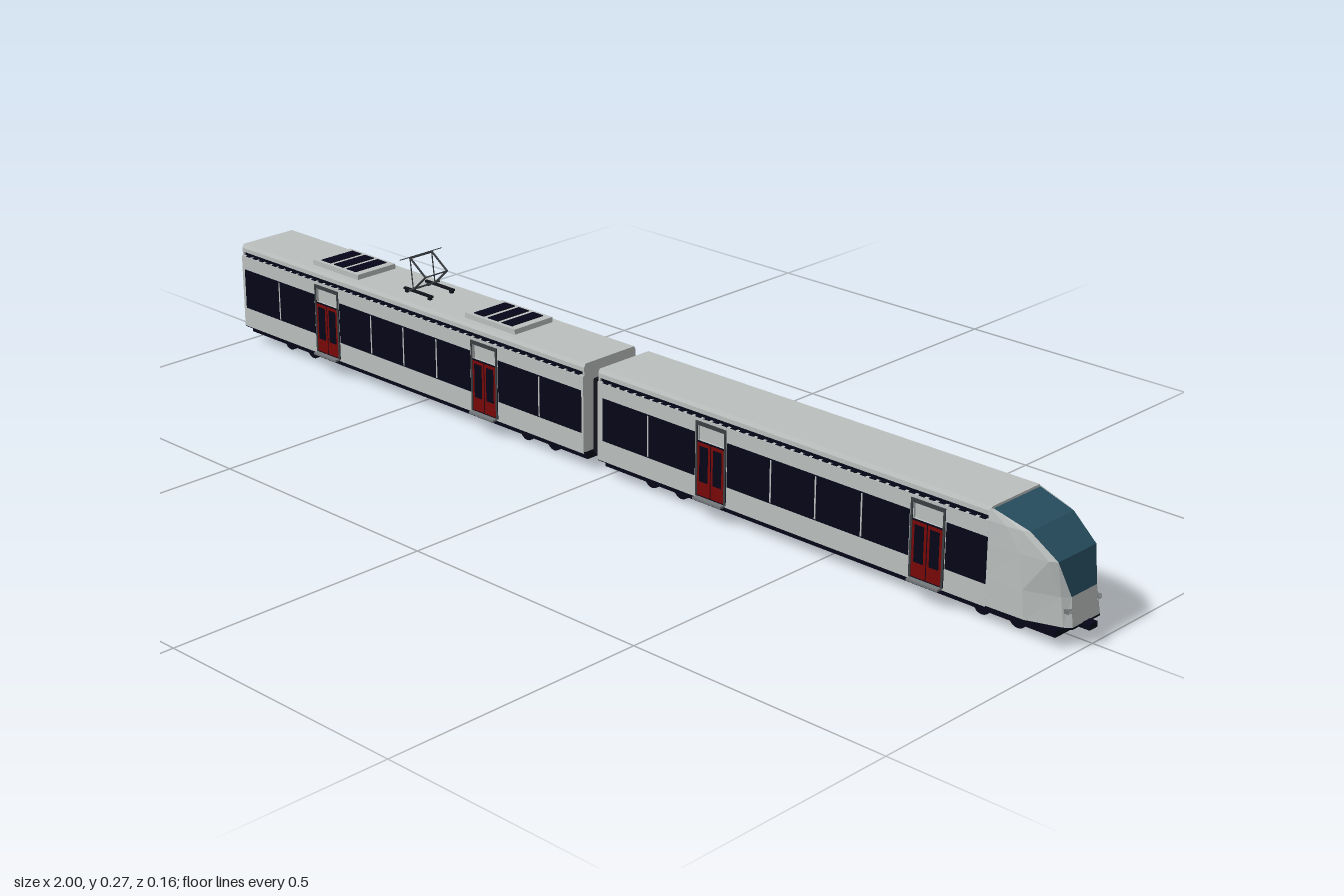
import * as THREE from 'three';

const mat = (name, color) => {
  const m = new THREE.MeshStandardMaterial({ color });
  m.name = name;
  return m;
};

export function createModel() {
  const silver = mat('silver body', 0xbbc0bf);
  const navy = mat('dark navy', 0x050518);
  const glass = mat('windscreen teal', 0x284f60);
  const red = mat('door red', 0x780806);
  const black = mat('bellows black', 0x12131c);
  const steel = mat('dark steel', 0x3a3f43);
  const grey = mat('fitting grey', 0x74787a);

  const train = new THREE.Group();
  train.name = 'train';

  const add = (parent, name, geo, material) => {
    const m = new THREE.Mesh(geo, material);
    m.name = name;
    parent.add(m);
    return m;
  };
  // Box given by its limits on each axis
  const box = (parent, name, material, x0, x1, y0, y1, z0, z1) => {
    const m = add(parent, name, new THREE.BoxGeometry(x1 - x0, y1 - y0, z1 - z0), material);
    m.position.set((x0 + x1) / 2, (y0 + y1) / 2, (z0 + z1) / 2);
  };
  // Same box on both sides of the train
  const pair = (parent, name, material, x0, x1, y0, y1, z0, z1) => {
    box(parent, name, material, x0, x1, y0, y1, z0, z1);
    box(parent, name, material, x0, x1, y0, y1, -z1, -z0);
  };
  const rod = (parent, name, a, b, r = 0.002) => {
    const p = new THREE.Vector3(...a), q = new THREE.Vector3(...b);
    const m = add(parent, name, new THREE.CylinderGeometry(r, r, p.distanceTo(q), 6), steel);
    m.position.copy(p).add(q).multiplyScalar(0.5);
    m.quaternion.setFromUnitVectors(new THREE.Vector3(0, 1, 0), q.sub(p).normalize());
  };

  const W = 0.067;

  // One carriage: hollow shell with openings over the doors
  function carriage(name, x0, x1, doors, windows, wheels) {
    const car = new THREE.Group();
    car.name = name;
    train.add(car);

    const side = new THREE.Shape([[x0, 0.032], [x1, 0.032], [x1, 0.178], [x0, 0.178]]
      .map(p => new THREE.Vector2(...p)));
    for (const d of doors) {
      side.holes.push(new THREE.Path([[-1, 0.138], [-1, 0.166], [1, 0.166], [1, 0.138]]
        .map(([s, y]) => new THREE.Vector2(d + s * 0.029, y))));
    }
    const wallGeo = new THREE.ExtrudeGeometry(side, { depth: 0.004, bevelEnabled: false });
    add(car, 'sideWall', wallGeo, silver).position.z = W - 0.004;
    add(car, 'sideWall', wallGeo, silver).position.z = -W;
    box(car, 'endWall', silver, x0, x0 + 0.004, 0.034, 0.187, -W + 0.003, W - 0.003);
    box(car, 'endWall', silver, x1 - 0.004, x1, 0.034, 0.187, -W + 0.003, W - 0.003);
    box(car, 'floor', navy, x0, x1, 0.0305, 0.035, -W + 0.0005, W - 0.0005);
    box(car, 'underframe', navy, x0 + 0.01, x1, 0.019, 0.0305, -0.057, 0.057);

    // Recessed band under the roof, with dashes lying on the ledge
    box(car, 'recessBand', navy, x0 + 0.004, x1 - 0.004, 0.173, 0.187, -0.0605, 0.0605);
    pair(car, 'ledge', silver, x0, x1, 0.174, 0.1785, 0.059, W - 0.0002);
    for (let x = x0 + 0.012; x < x1 - 0.014; x += 0.02) {
      pair(car, 'ledgeDash', navy, x, x + 0.012, 0.1785, 0.1795, 0.061, 0.0665);
    }

    // Roof with chamfered edges
    const roof = new THREE.Shape([[-0.0645, 0.186], [0.0645, 0.186], [0.0645, 0.194],
      [0.061, 0.201], [-0.061, 0.201], [-0.0645, 0.194]].map(p => new THREE.Vector2(...p)));
    const roofGeo = new THREE.ExtrudeGeometry(roof, { depth: x1 - x0, bevelEnabled: false });
    const r = add(car, 'roof', roofGeo, silver);
    r.rotation.y = Math.PI / 2;
    r.position.x = x0;

    // Window bands with mullions
    for (const [a, b, panes] of windows) {
      pair(car, 'windowBand', navy, a, b, 0.071, 0.151, W, W + 0.0008);
      for (let i = 1; i < panes; i++) {
        const x = a + (b - a) * i / panes;
        pair(car, 'mullion', silver, x - 0.0015, x + 0.0015, 0.073, 0.149, W, W + 0.0014);
      }
    }

    // Double doors with glazing, frame and step
    for (const d of doors) {
      pair(car, 'doorBacking', navy, d - 0.035, d + 0.035, 0.036, 0.138, W, W + 0.0006);
      for (const s of [-1, 1]) {
        const c = d + s * 0.0155;
        pair(car, 'doorLeaf', red, c - 0.0145, c + 0.0145, 0.038, 0.135, W, W + 0.0012);
        pair(car, 'doorWindow', navy, c - 0.0095, c + 0.0095, 0.064, 0.129, W, W + 0.0018);
        const p = d + s * 0.0325;
        pair(car, 'doorPost', steel, p - 0.002, p + 0.002, 0.036, 0.172, W, W + 0.0018);
      }
      pair(car, 'doorHeader', steel, d - 0.0345, d + 0.0345, 0.166, 0.173, W, W + 0.0018);
      pair(car, 'doorStep', grey, d - 0.032, d + 0.032, 0.032, 0.036, W - 0.005, 0.078);
    }

    // Wheelsets
    for (const x of wheels) {
      for (const dx of [-0.035, 0.035]) {
        for (const z of [-0.035, 0.035]) {
          const w = add(car, 'wheel', new THREE.CylinderGeometry(0.018, 0.018, 0.006, 20), navy);
          w.rotation.x = Math.PI / 2;
          w.position.set(x + dx, 0.018, z);
        }
      }
    }
    return car;
  }

  const rear = carriage('rearCar', -1, -0.045, [-0.742, -0.3],
    [[-0.992, -0.779, 2], [-0.705, -0.337, 4], [-0.263, -0.05, 2]], [-0.86, -0.185]);
  const front = carriage('frontCar', -0.01, 0.842, [0.26, 0.724],
    [[0.003, 0.223, 2], [0.297, 0.687, 4], [0.761, 0.841, 1]], [0.13, 0.85]);

  // Bellows between the cars
  for (let i = 0; i < 5; i++) {
    const x = -0.045 + i * 0.007, s = i % 2 ? 0 : 0.005;
    box(train, 'bellows', black, x, x + 0.007, 0.03, 0.172 - s, -0.047 + s, 0.047 - s);
  }

  // Nose: outlines at five heights as [x, z] from the side wall to the windscreen edge
  const levels = [
    [0.034, [0.84, W], [0.915, 0.0655], [0.975, 0.045], [0.986, 0.036]],
    [0.083, [0.84, W], [0.91, 0.066], [0.968, 0.045], [0.979, 0.033]],
    [0.141, [0.84, W], [0.9, 0.066], [0.95, 0.057], [0.962, 0.049]],
    [0.179, [0.84, W], [0.875, 0.066], [0.9, 0.0625], [0.912, 0.056]],
    [0.198, [0.84, 0.064], [0.842, 0.064], [0.843, 0.063], [0.844, 0.06]],
  ].map(([y, ...half]) => [...half, ...half.map(([x, z]) => [x, -z]).reverse()]
    .map(([x, z]) => [x, y, z]));
  const shell = [], screen = [];
  for (let l = 0; l < levels.length - 1; l++) {
    for (let i = 0; i < 7; i++) {
      const [a, b, c, d] = [levels[l][i], levels[l][i + 1], levels[l + 1][i + 1], levels[l + 1][i]];
      (i === 3 && l > 0 ? screen : shell).push(...a, ...b, ...c, ...a, ...c, ...d);
    }
  }
  const faces = pts => {
    const g = new THREE.BufferGeometry();
    g.setAttribute('position', new THREE.Float32BufferAttribute(pts, 3));
    g.computeVertexNormals();
    return g;
  };
  add(front, 'nose', faces(shell), silver);
  add(front, 'windscreen', faces(screen), glass);
  const plan = new THREE.Shape(levels[0].map(([x, , z]) => new THREE.Vector2(x, z)));
  const floor = add(front, 'noseFloor',
    new THREE.ExtrudeGeometry(plan, { depth: 0.0035, bevelEnabled: false }), navy);
  floor.rotation.x = Math.PI / 2;
  floor.position.y = 0.034;
  box(front, 'noseUnderframe', navy, 0.84, 0.97, 0.019, 0.0305, -0.057, 0.057);
  box(front, 'coupler', navy, 0.96, 1, 0.025, 0.035, -0.01, 0.01);
  // Headlamps
  pair(front, 'headlampSurround', grey, 0.968, 0.9825, 0.057, 0.064, 0.03, 0.043);
  pair(front, 'headlamp', silver, 0.968, 0.9835, 0.058, 0.063, 0.031, 0.042);

  // Roof units with three louvres each
  for (const x of [-0.737, -0.305]) {
    box(rear, 'roofUnit', silver, x - 0.066, x + 0.066, 0.2, 0.211, -0.047, 0.047);
    for (const dx of [-0.037, 0, 0.037]) {
      box(rear, 'louvre', navy, x + dx - 0.0135, x + dx + 0.0135, 0.211, 0.2125, -0.039, 0.039);
    }
  }

  // Pantograph
  const pan = new THREE.Group();
  pan.name = 'pantograph';
  rear.add(pan);
  for (const z of [-0.027, 0.027]) {
    box(pan, 'baseRail', black, -0.56, -0.482, 0.206, 0.21, z - 0.003, z + 0.003);
    for (const x of [-0.553, -0.489]) box(pan, 'insulator', black, x - 0.003, x + 0.003, 0.2, 0.207, z - 0.003, z + 0.003);
    rod(pan, 'lowerArm', [-0.535, 0.21, z], [-0.5, 0.242, z]);
    rod(pan, 'upperArm', [-0.5, 0.242, z], [-0.542, 0.271, z]);
    rod(pan, 'guideRod', [-0.535, 0.21, z], [-0.542, 0.271, z], 0.0012);
  }
  rod(pan, 'baseBar', [-0.535, 0.211, -0.038], [-0.535, 0.211, 0.038]);
  rod(pan, 'kneeBar', [-0.5, 0.242, -0.027], [-0.5, 0.242, 0.027], 0.0014);
  rod(pan, 'topBar', [-0.542, 0.27, -0.028], [-0.542, 0.27, 0.028]);
  rod(pan, 'contactStrip', [-0.542, 0.272, -0.052], [-0.542, 0.272, 0.052], 0.0009);

  return train;
}
